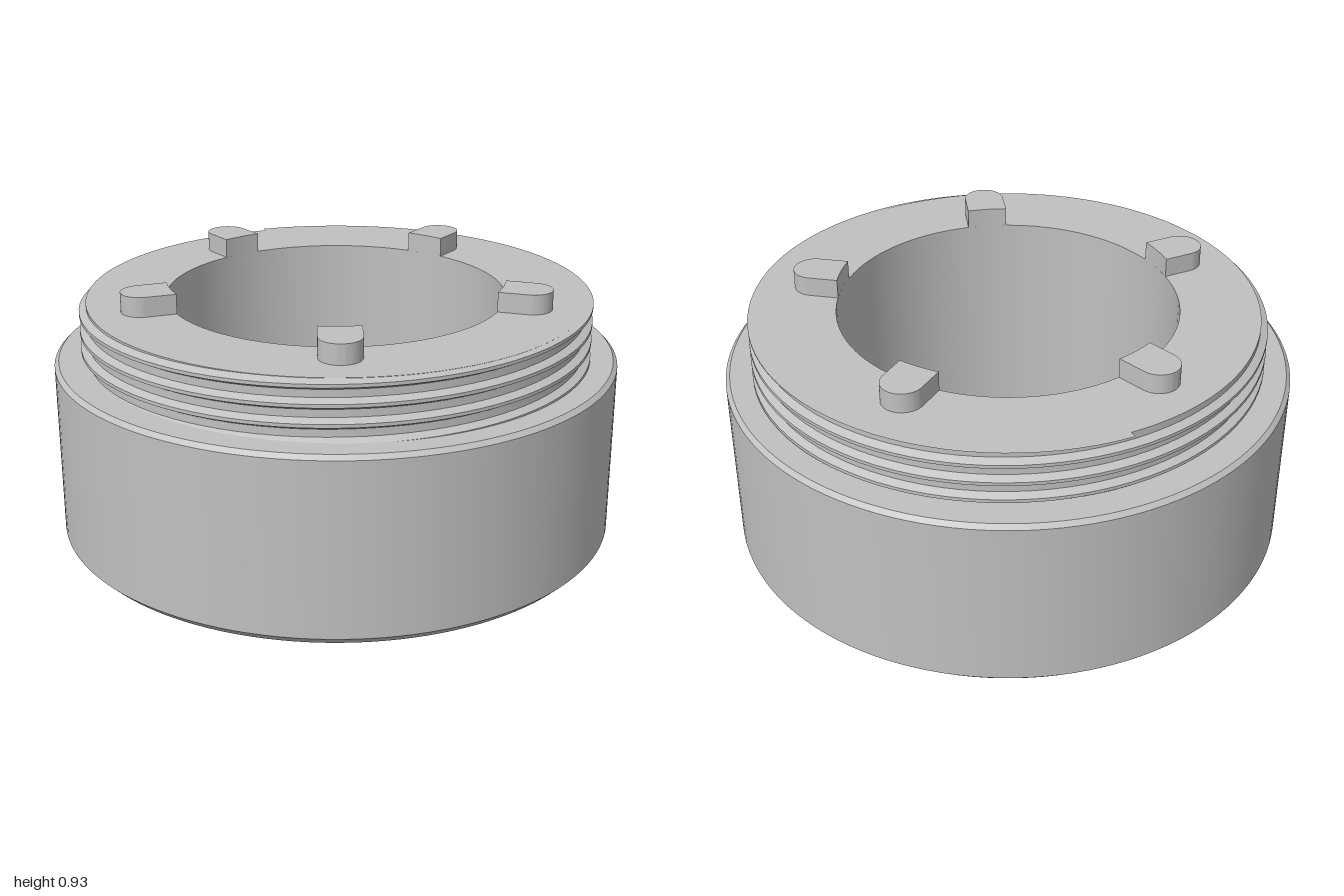
import * as THREE from 'three';
import { toCreasedNormals } from 'three/addons/utils/BufferGeometryUtils.js';

const BORE = 0.6, NECK = 0.88, CREST = 0.905, SHOULDER = 0.655, TOP = 0.86;

// Helical ridge: a trapezoid section swept up the neck, trimmed at shoulder and top face
function threadGeometry() {
  const pitch = 0.065, steps = 96, yStart = 0.62, yEnd = 0.878;
  const section = [[NECK - 0.003, -0.021], [CREST, -0.006], [CREST, 0.006], [NECK - 0.003, 0.021]];
  const count = Math.round(((yEnd - yStart) / pitch) * steps);
  const phase = (yStart - 0.8) / pitch;
  const positions = [], index = [];
  for (let i = 0; i <= count; i++) {
    const a = (phase + i / steps) * Math.PI * 2;
    const y = yStart + (pitch * i) / steps;
    for (const [r, dy] of section) {
      positions.push(r * Math.cos(a), THREE.MathUtils.clamp(y + dy, SHOULDER - 0.01, TOP), -r * Math.sin(a));
    }
    if (i === count) break;
    for (let k = 0; k < 3; k++) {
      const p = i * 4 + k, q = p + 4;
      index.push(p, q, p + 1, q, q + 1, p + 1);
    }
  }
  const g = new THREE.BufferGeometry();
  g.setAttribute('position', new THREE.Float32BufferAttribute(positions, 3));
  g.setIndex(index);
  return toCreasedNormals(g, 0.4);
}

// Round-nosed lug whose inner end follows the bore
function lugGeometry() {
  const w = 0.0725, a = Math.asin(w / BORE), nose = 0.7;
  const s = new THREE.Shape();
  s.moveTo(w, BORE * Math.cos(a));
  s.lineTo(w, nose);
  s.absarc(0, nose, w, 0, Math.PI, false);
  s.lineTo(-w, BORE * Math.cos(a));
  s.absarc(0, 0, BORE, Math.PI / 2 + a, Math.PI / 2 - a, true);
  const g = new THREE.ExtrudeGeometry(s, { depth: 0.08, bevelEnabled: false, curveSegments: 16 });
  g.rotateX(-Math.PI / 2);
  return toCreasedNormals(g, 0.5);
}

export function createModel() {
  const model = new THREE.Group();
  const metal = new THREE.MeshStandardMaterial({ color: 0xc0c0c0 });
  metal.name = 'grey metal';

  const add = (name, geometry) => {
    const mesh = new THREE.Mesh(geometry, metal);
    mesh.name = name;
    model.add(mesh);
    return mesh;
  };

  // Chamfered ring with a narrower neck and a straight bore
  const profile = [
    [BORE, 0], [0.97, 0], [1, 0.03], [1, 0.64], [0.985, SHOULDER],
    [NECK, SHOULDER], [NECK, TOP], [BORE, TOP], [BORE, 0],
  ].map(([r, y]) => new THREE.Vector2(r, y));
  add('ringBody', toCreasedNormals(new THREE.LatheGeometry(profile, 128), 0.4));

  add('neckThread', threadGeometry());

  // Five lugs evenly spaced around the bore, the first at the back
  const lug = lugGeometry();
  for (let i = 0; i < 5; i++) {
    const mesh = add('lug' + (i + 1), lug);
    mesh.position.y = 0.85;
    mesh.rotation.y = (i * Math.PI * 2) / 5;
  }
  return model;
}
